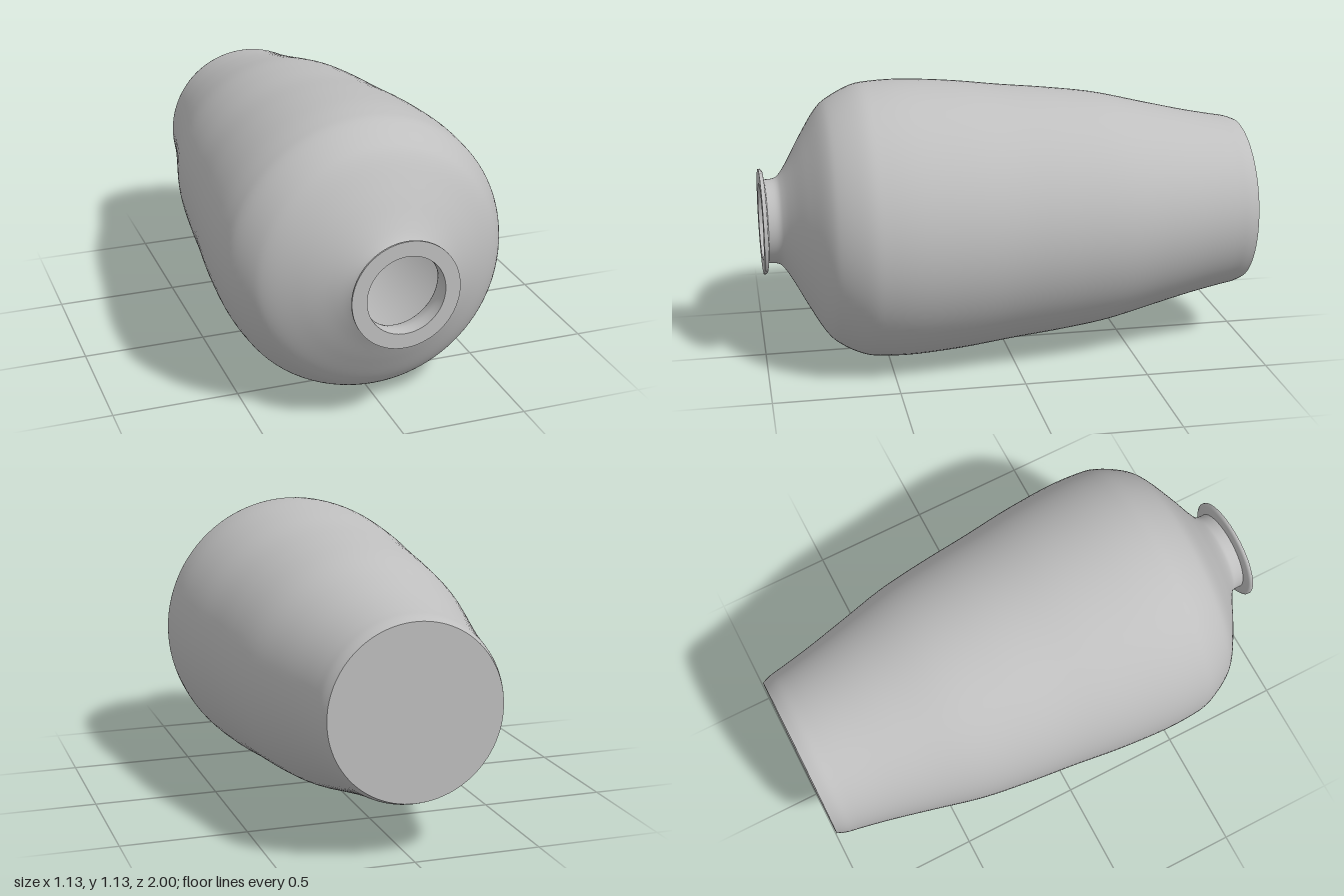
import * as THREE from 'three';

const AXIS_Y = 0.568;

// Smooth a short list of [radius, z] points into a lathe profile
const smooth = (pts, n) =>
  new THREE.SplineCurve(pts.map(([r, z]) => new THREE.Vector2(r, z))).getPoints(n);
const straight = (pts) => pts.map(([r, z]) => new THREE.Vector2(r, z));

// Revolve a profile around the lying z axis; the neck sits slightly high and tilted
function revolve(name, profile, material) {
  const geo = new THREE.LatheGeometry(profile, 96);
  geo.rotateX(Math.PI / 2);
  const p = geo.attributes.position;
  for (let i = 0; i < p.count; i++) {
    const k = THREE.MathUtils.smoothstep(p.getZ(i), 0.65, 0.95);
    p.setY(i, p.getY(i) + AXIS_Y + 0.013 * k);
    p.setZ(i, p.getZ(i) - 0.02 * p.getX(i) * k);
  }
  const mesh = new THREE.Mesh(geo, material);
  mesh.name = name;
  return mesh;
}

export function createModel() {
  const group = new THREE.Group();
  group.name = 'vase';
  const clay = new THREE.MeshStandardMaterial({ color: 0xbfbfbf });
  clay.name = 'grey clay';

  // Outer wall, from the foot up to the neck
  const body = smooth([
    [0.34, -1], [0.355, -0.96], [0.366, -0.9], [0.392, -0.77], [0.432, -0.6],
    [0.479, -0.4], [0.507, -0.2], [0.528, 0], [0.552, 0.2], [0.566, 0.4],
    [0.563, 0.53], [0.55, 0.61], [0.505, 0.7], [0.455, 0.755], [0.35, 0.82],
    [0.25, 0.875], [0.195, 0.91], [0.174, 0.935], [0.17, 0.975],
  ], 110);
  // Hollow inside, from the mouth down to the floor
  const inside = smooth([
    [0.155, 0.996], [0.145, 0.93], [0.19, 0.86], [0.3, 0.79], [0.41, 0.72],
    [0.49, 0.62], [0.52, 0.45], [0.5, 0.15], [0.46, -0.2], [0.42, -0.5],
    [0.36, -0.75], [0.32, -0.94],
  ].map(([r, z]) => [Math.max(r, 0.155), z]), 80);

  group.add(
    revolve('body', body, clay),
    revolve('foot', straight([[0, -1], [0.34, -1]]), clay),
    revolve('lip', straight([[0.17, 0.975], [0.205, 0.98], [0.214, 0.988], [0.214, 0.996]]), clay),
    revolve('rim', straight([[0.214, 0.996], [0.155, 0.996]]), clay),
    revolve('inside', inside, clay),
    revolve('insideFloor', straight([[0.32, -0.94], [0, -0.94]]), clay),
  );
  return group;
}
